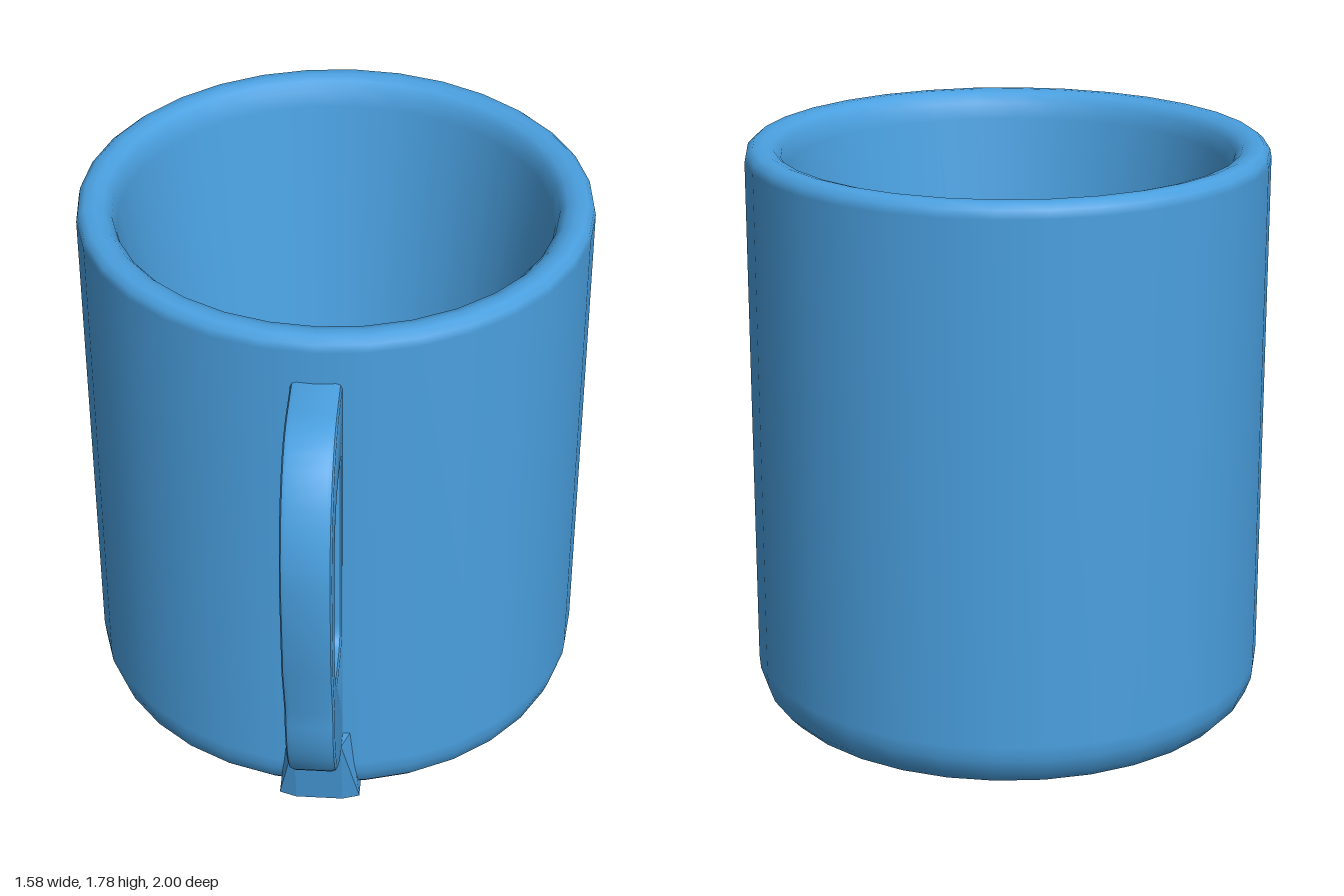
import * as THREE from 'three';
import { toCreasedNormals } from 'three/addons/utils/BufferGeometryUtils.js';
import { ConvexGeometry } from 'three/addons/geometries/ConvexGeometry.js';

const v2 = (x, y) => new THREE.Vector2(x, y);

export function createModel() {
  const model = new THREE.Group();
  model.name = 'mug';
  const blue = new THREE.MeshStandardMaterial({ color: 0x4aa0e0 });
  blue.name = 'glazeBlue';

  const add = (parent, name, geometry) => {
    const mesh = new THREE.Mesh(geometry, blue);
    mesh.name = name;
    parent.add(mesh);
    return mesh;
  };

  // Body: one turned profile, from under the base, over the rim, to the floor inside
  const profile = [
    v2(0, 0), v2(0.66, 0), v2(0.69, 0.003), v2(0.735, 0.02), v2(0.768, 0.055),
    v2(0.786, 0.105), v2(0.79, 0.15), v2(0.79, 1.74), v2(0.785, 1.765), v2(0.765, 1.782),
    v2(0.735, 1.784), v2(0.705, 1.775), v2(0.682, 1.75), v2(0.67, 1.7),
    v2(0.455, 0.32), v2(0.435, 0.25), v2(0.4, 0.215), v2(0.35, 0.2), v2(0, 0.2),
  ];
  const body = add(model, 'body', new THREE.LatheGeometry(profile, 32));
  body.position.z = -0.21;

  // Handle group: local x points radially outward, slightly off the front
  const handleGroup = new THREE.Group();
  handleGroup.name = 'handleGroup';
  handleGroup.position.z = -0.21;
  handleGroup.rotation.y = -THREE.MathUtils.degToRad(101);
  model.add(handleGroup);

  // Handle outline with its finger hole
  const outline = new THREE.Shape();
  outline.moveTo(0.73, 0.26);
  outline.lineTo(0.87, 0.26);
  outline.bezierCurveTo(1.03, 0.28, 1.13, 0.46, 1.131, 0.68);
  outline.lineTo(1.195, 0.88);
  outline.lineTo(1.218, 1.22);
  outline.bezierCurveTo(1.21, 1.47, 1.09, 1.635, 0.93, 1.635);
  outline.lineTo(0.73, 1.635);
  outline.closePath();

  const hole = new THREE.Path();
  hole.moveTo(0.82, 0.78);
  hole.lineTo(0.82, 1.33);
  hole.quadraticCurveTo(0.82, 1.41, 0.88, 1.41);
  hole.lineTo(0.935, 1.41);
  hole.quadraticCurveTo(1.09, 1.4, 1.09, 1.21);
  hole.lineTo(1.09, 0.87);
  hole.quadraticCurveTo(1.07, 0.7, 0.95, 0.7);
  hole.lineTo(0.88, 0.7);
  hole.quadraticCurveTo(0.82, 0.7, 0.82, 0.78);
  outline.holes.push(hole);

  const bevel = 0.018, thickness = 0.15;
  const handle = new THREE.ExtrudeGeometry(outline, {
    depth: thickness - 2 * bevel, curveSegments: 10,
    bevelThickness: bevel, bevelSize: bevel, bevelOffset: -bevel, bevelSegments: 2,
  });
  handle.translate(0, 0, bevel - thickness / 2);
  add(handleGroup, 'handle', toCreasedNormals(handle, 0.7));

  // Flared wedge joining the handle to the base
  const corners = [];
  for (const side of [-1, 1]) {
    for (const [y, flareX, flareHalf, outerX] of [[0, 0.772, 0.128, 0.79], [0.28, 0.775, 0.1, 0.845]]) {
      corners.push(
        new THREE.Vector3(0.66, y, side * flareHalf),
        new THREE.Vector3(flareX, y, side * flareHalf),
        new THREE.Vector3(outerX, y, side * 0.074),
      );
    }
  }
  add(handleGroup, 'handleFoot', new ConvexGeometry(corners));

  return model;
}
